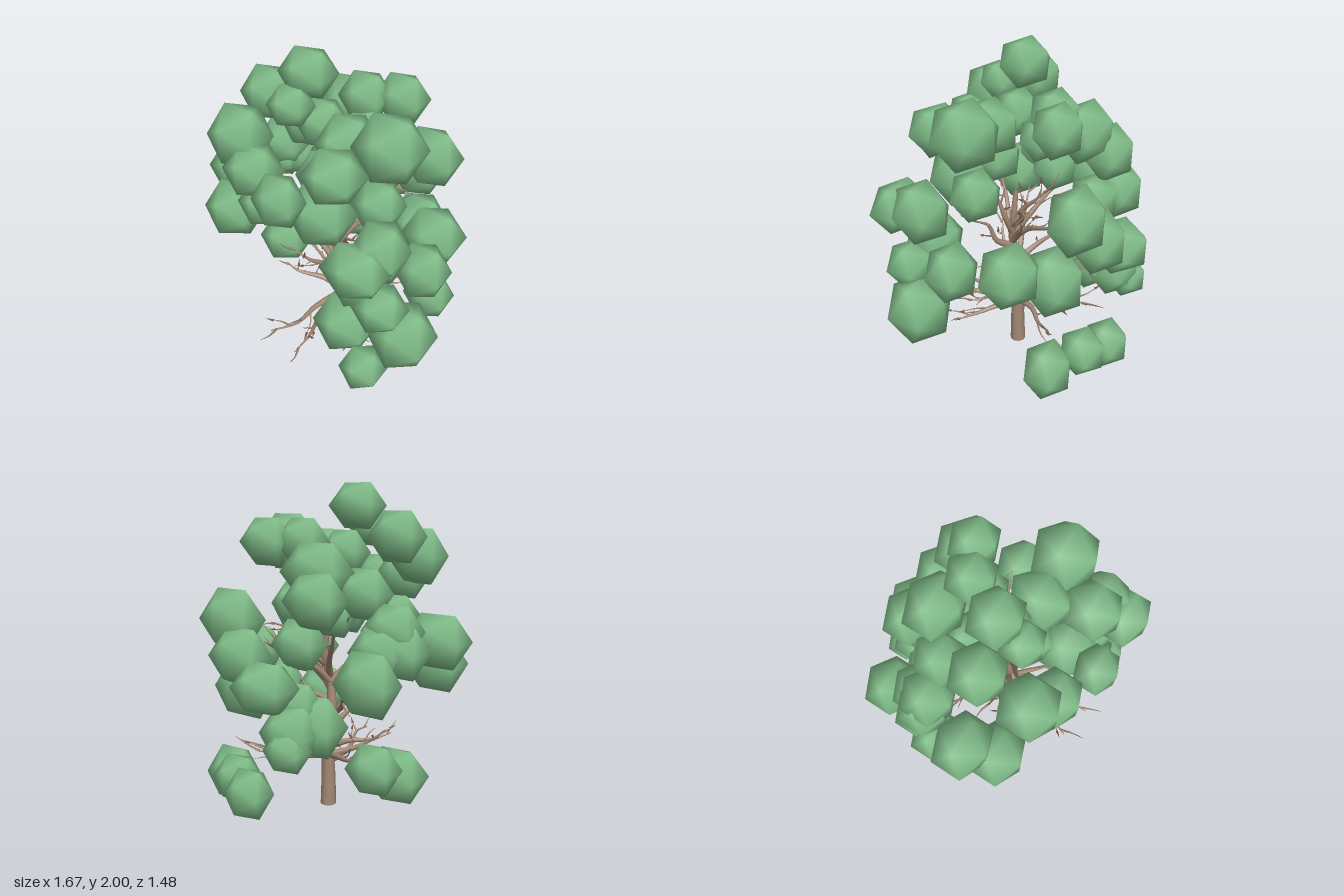
import * as THREE from 'three';
import { mergeVertices } from 'three/addons/utils/BufferGeometryUtils.js';

const V = (x, y, z) => new THREE.Vector3(x, y, z);

// Clump rows: x, y, z, half width, [half height, half depth]
const lowerClumps = [
  [0.665, 0.61, 0.36, 0.17, 0.19, 0.17], [0.35, 0.615, 0.46, 0.165, 0.16, 0.16],
  [0.52, 0.4, 0.53, 0.12], [0.435, 0.24, -0.355, 0.15, 0.165, 0.135],
  [0.26, 0.3, -0.5, 0.13], [0.09, 0.27, -0.59, 0.125, 0.14, 0.125],
  [-0.59, 0.395, -0.11, 0.16, 0.15, 0.15], [-0.55, 0.47, -0.28, 0.135],
  [-0.19, 0.67, -0.36, 0.18, 0.175, 0.16], [-0.16, 0.66, -0.51, 0.15, 0.155, 0.155],
  [-0.13, 0.79, -0.42, 0.13], [-0.2, 0.59, -0.59, 0.115],
];
const middleClumps = [
  [0.64, 0.92, 0.14, 0.14, 0.155, 0.135], [0.53, 0.92, -0.16, 0.17, 0.16, 0.16],
  [0.33, 0.81, -0.33, 0.165, 0.19, 0.17], [0.57, 0.84, 0.455, 0.14, 0.125, 0.13],
  [0.4, 0.93, 0.4, 0.155], [-0.035, 0.91, -0.58, 0.165, 0.14, 0.165],
  [0.18, 1.05, -0.535, 0.165, 0.16, 0.145], [-0.12, 1.13, -0.38, 0.135],
  [-0.66, 1.12, 0.19, 0.175, 0.155, 0.155], [-0.57, 0.95, 0.35, 0.165],
  [-0.565, 0.97, -0.38, 0.16, 0.17, 0.145], [-0.55, 1.21, -0.11, 0.15, 0.145, 0.15],
  [-0.6, 1.1, -0.12, 0.145], [-0.52, 1.1, -0.2, 0.145],
  [0.52, 1.17, 0.4, 0.135, 0.17, 0.16], [0.485, 1.15, 0.57, 0.17, 0.135, 0.135],
];
const upperClumps = [
  [0.315, 1.235, -0.455, 0.175, 0.175, 0.15], [0.125, 1.235, 0.38, 0.175, 0.175, 0.16],
  [0.34, 1.25, 0.15, 0.135], [-0.15, 1.27, -0.11, 0.13, 0.135, 0.125],
  [0, 1.33, 0.2, 0.135], [-0.22, 1.2, 0.45, 0.135, 0.12, 0.13],
  [-0.24, 1.44, 0.5, 0.15, 0.14, 0.14], [-0.25, 1.38, -0.41, 0.16, 0.15, 0.14],
  [0.025, 1.41, 0.605, 0.13, 0.14, 0.115], [-0.375, 1.4, -0.13, 0.135, 0.14, 0.145],
  [-0.17, 1.52, -0.29, 0.185, 0.16, 0.155], [0.05, 1.53, -0.11, 0.115],
  [-0.08, 1.6, 0.1, 0.13], [0.14, 1.58, 0.17, 0.14, 0.15, 0.17],
  [0.25, 1.555, 0.43, 0.15, 0.13, 0.155], [-0.385, 1.57, 0.43, 0.155, 0.165, 0.16],
  [-0.41, 1.7, 0.145, 0.145, 0.145, 0.145], [0.405, 1.64, 0.16, 0.175, 0.175, 0.175],
  [0.195, 1.67, -0.28, 0.14, 0.135, 0.13], [0.015, 1.67, -0.18, 0.135],
  [-0.17, 1.74, 0.25, 0.115, 0.105, 0.115], [-0.17, 1.87, 0.095, 0.145, 0.13, 0.138],
];

// Limbs: start height on the trunk, tip x, y, z
const limbs = [
  [0.28, 0.1, 0.34, 0.64], [0.33, -0.12, 0.35, 0.6], [0.32, 0.36, 0.3, 0.33],
  [0.38, -0.32, 0.52, 0.2], [0.34, -0.42, 0.46, -0.12], [0.33, 0.3, 0.4, -0.3],
  [0.38, 0.08, 0.5, -0.45], [0.42, 0.3, 0.44, 0.26], [0.46, 0.26, 0.74, -0.2],
  [0.5, -0.26, 0.6, -0.32], [0.48, -0.2, 0.76, 0.28], [0.52, 0.05, 0.76, -0.4],
  [0.56, -0.36, 0.96, 0.16], [0.6, -0.3, 0.8, -0.18], [0.62, 0.28, 0.78, 0.12],
  [0.74, 0.24, 1.0, 0.24], [0.78, 0.3, 1.08, -0.12], [0.8, 0.18, 1.1, -0.34],
  [0.8, -0.16, 1.14, 0.28], [0.84, -0.2, 1.2, -0.18], [0.86, 0.14, 1.2, 0.18],
  [0.92, 0.06, 1.22, -0.16], [0.92, 0.28, 1.18, -0.16],
];

function seeded(seed) {
  return () => {
    seed = (seed * 16807) % 2147483647;
    return seed / 2147483647;
  };
}

// Round tube that narrows from r0 to r1 along its path
function taperedTube(points, r0, r1, sides, steps) {
  const curve = new THREE.CatmullRomCurve3(points);
  const geo = new THREE.TubeGeometry(curve, steps, 1, sides);
  const pos = geo.attributes.position;
  const p = V(0, 0, 0);
  for (let i = 0; i <= steps; i++) {
    const c = curve.getPointAt(i / steps);
    const r = THREE.MathUtils.lerp(r0, r1, i / steps);
    for (let j = 0; j <= sides; j++) {
      const k = i * (sides + 1) + j;
      p.fromBufferAttribute(pos, k).sub(c).multiplyScalar(r).add(c);
      pos.setXYZ(k, p.x, p.y, p.z);
    }
  }
  return { geo, curve };
}

export function createModel() {
  const tree = new THREE.Group();
  tree.name = 'tree';
  const bark = new THREE.MeshStandardMaterial({ color: 0xa58a76 });
  bark.name = 'bark brown';
  const dry = new THREE.MeshStandardMaterial({ color: 0x8c6355 });
  dry.name = 'dry twig brown';
  const leaf = new THREE.MeshStandardMaterial({ color: 0x80bd89 });
  leaf.name = 'leaf green';
  const rand = seeded(41);

  const add = (parent, geo, mat, name) => {
    const mesh = new THREE.Mesh(geo, mat);
    mesh.name = name;
    parent.add(mesh);
    return mesh;
  };

  // Trunk with a closed foot
  const path = [V(0.01, 0, 0.062), V(0.01, 0.2, 0.062), V(0.01, 0.4, 0.055), V(0.0, 0.6, 0.08),
    V(0.015, 0.8, 0.09), V(0.04, 0.95, 0.07), V(0.02, 1.15, 0.06)];
  const trunk = taperedTube(path, 0.05, 0.014, 10, 26);
  add(tree, trunk.geo, bark, 'trunk');
  const foot = add(tree, new THREE.CircleGeometry(0.049, 10), bark, 'trunkFoot');
  foot.rotation.x = Math.PI / 2;
  foot.position.set(0.01, 0.001, 0.062);

  // Limbs, each with side twigs that end in thin slivers
  const branches = new THREE.Group();
  branches.name = 'branches';
  tree.add(branches);
  const sliver = new THREE.ConeGeometry(0.01, 0.055, 3);
  const jitter = (s) => V(rand() - 0.5, rand() - 0.5, rand() - 0.5).multiplyScalar(s);
  for (const [h, x, y, z] of limbs) {
    const start = trunk.curve.getPointAt(h / 1.16);
    const end = V(x, y, z);
    const mid = start.clone().lerp(end, 0.35).add(jitter(0.05));
    const late = start.clone().lerp(end, 0.7).add(jitter(0.07));
    const limb = taperedTube([start, mid, late, end], 0.025, 0.003, 7, 12);
    add(branches, limb.geo, bark, 'limb');
    const dir = end.clone().sub(start).normalize();
    for (let i = 0; i < 4; i++) {
      const a = limb.curve.getPointAt(0.45 + i * 0.16);
      const b = a.clone().addScaledVector(dir, 0.09).add(jitter(0.17));
      const c = a.clone().lerp(b, 0.5).add(jitter(0.025));
      add(branches, taperedTube([a, c, b], 0.008, 0.0015, 5, 5).geo, bark, 'twig');
      if (i % 2 === 0) {
        const tip = add(branches, sliver, dry, 'twigTip');
        const along = b.clone().sub(c).normalize();
        tip.position.copy(b).addScaledVector(along, 0.02);
        tip.quaternion.setFromUnitVectors(V(0, 1, 0), along);
      }
    }
  }

  // Rounded twenty-sided leaf clumps of unit half width
  let ball = new THREE.IcosahedronGeometry(1 / 0.8507, 0);
  ball.deleteAttribute('normal');
  ball.deleteAttribute('uv');
  ball = mergeVertices(ball);
  ball.computeVertexNormals();
  const foliage = new THREE.Group();
  foliage.name = 'foliage';
  tree.add(foliage);
  for (const tier of [lowerClumps, middleClumps, upperClumps]) {
    for (const [x, y, z, hx, hy = hx, hz = hx] of tier) {
      const clump = add(foliage, ball, leaf, 'leafClump');
      clump.position.set(x, y, z);
      clump.scale.set(hx, hy, hz);
    }
  }
  return tree;
}
